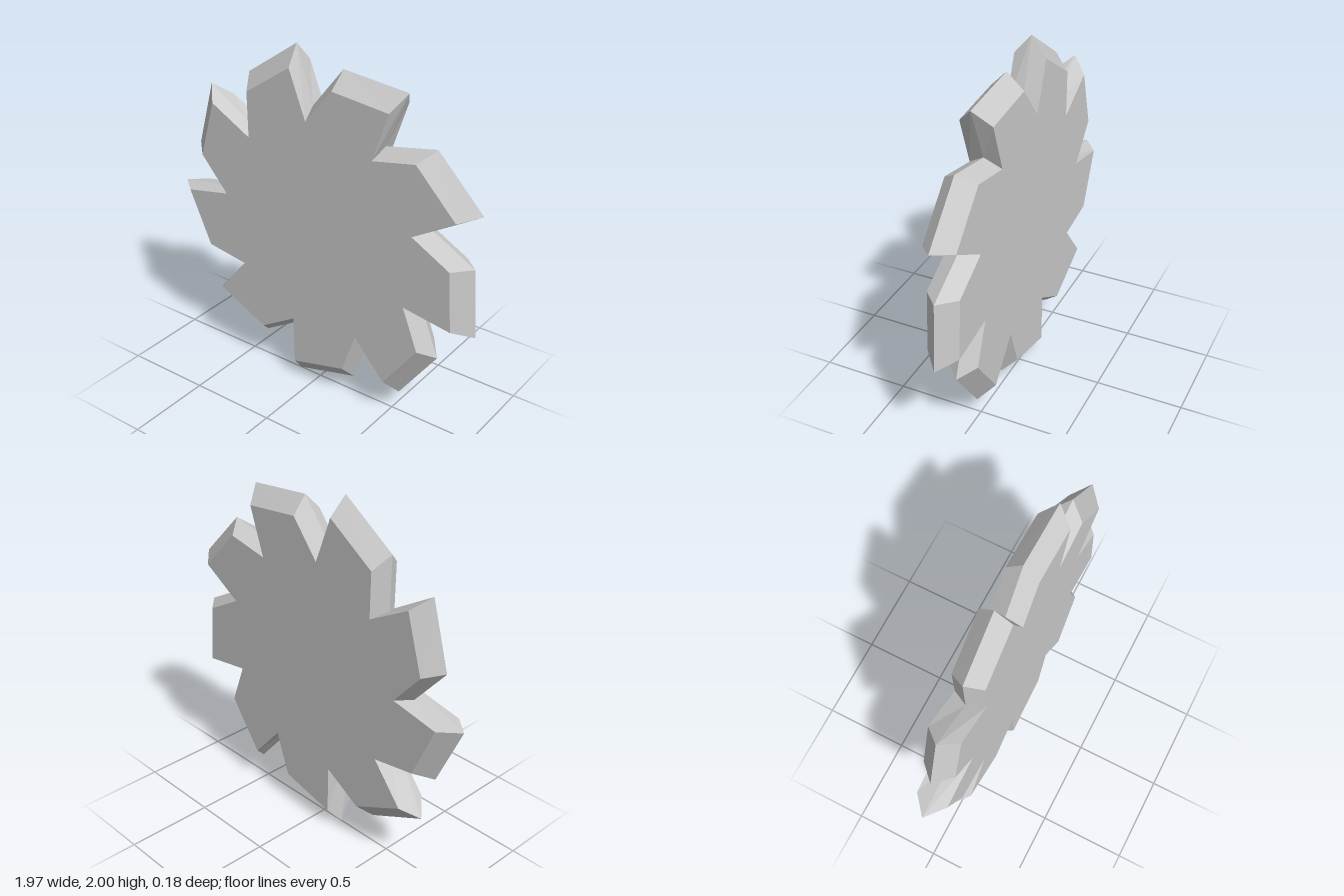
import * as THREE from 'three';

const TEETH = 9;
const HALF_DEPTH = 0.09;
const CENTRE = [0.03, 1.0];

// One tooth as [radius, angle in degrees]: valley, leading tip, trailing corner
const FACE_TOOTH = [[0.626, 15.6], [0.907, 20.5], [0.832, 42.9]];
const RIM_TOOTH = [[0.686, 16.6], [1.014, 20.3], [0.926, 43.0]];

// Repeats the tooth around the axis, giving a closed counter-clockwise loop
function toothedLoop(tooth, z) {
  const loop = [];
  for (let i = 0; i < TEETH; i++) {
    for (const [r, deg] of tooth) {
      const a = THREE.MathUtils.degToRad(deg + (i * 360) / TEETH);
      loop.push([r * Math.cos(a), r * Math.sin(a), z]);
    }
  }
  return loop;
}

export function createModel() {
  // Cross-sections from front face through the sharp rim to the back face
  const loops = [
    toothedLoop(FACE_TOOTH, HALF_DEPTH),
    toothedLoop(RIM_TOOTH, 0),
    toothedLoop(FACE_TOOTH, -HALF_DEPTH),
  ];
  const [front, , back] = loops;
  const n = front.length;
  const positions = [];
  const tri = (a, b, c) => positions.push(...a, ...b, ...c);

  for (let i = 0; i < n; i++) {
    const j = (i + 1) % n;
    // Flat faces
    tri([0, 0, HALF_DEPTH], front[i], front[j]);
    tri([0, 0, -HALF_DEPTH], back[j], back[i]);
    // Bevels
    for (let k = 0; k < 2; k++) {
      const near = loops[k], far = loops[k + 1];
      tri(near[i], far[i], far[j]);
      tri(near[i], far[j], near[j]);
    }
  }

  const geometry = new THREE.BufferGeometry();
  geometry.setAttribute('position', new THREE.Float32BufferAttribute(positions, 3));
  geometry.computeVertexNormals();

  const blade = new THREE.Mesh(
    geometry,
    new THREE.MeshStandardMaterial({ color: 0xcccccc, flatShading: true })
  );
  blade.name = 'toothedBlade';
  blade.position.set(CENTRE[0], CENTRE[1], 0);

  const group = new THREE.Group();
  group.name = 'sawBlade';
  group.add(blade);
  return group;
}
